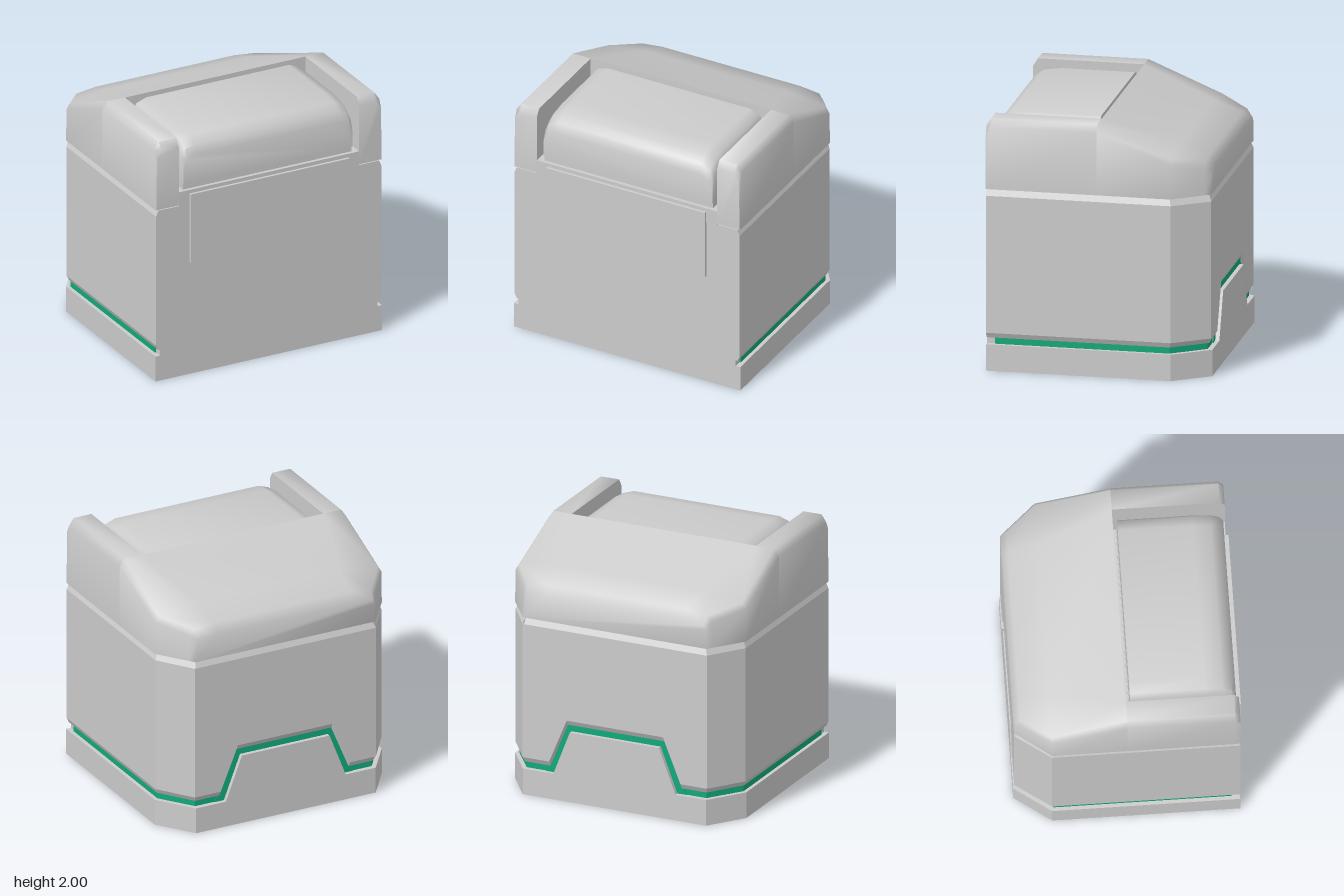
import * as THREE from 'three';
import { toCreasedNormals } from 'three/addons/utils/BufferGeometryUtils.js';

const grey = new THREE.MeshStandardMaterial({ color: 0xcccccc });
const green = new THREE.MeshStandardMaterial({ color: 0x11a97a });

export function createModel() {
  const group = new THREE.Group();
  const add = (name, geo, mat = grey) => {
    const m = new THREE.Mesh(geo, mat);
    m.name = name;
    group.add(m);
    return m;
  };
  const box = (name, x, y0, y1, z0, z1) =>
    add(name, new THREE.BoxGeometry(2 * x, y1 - y0, z1 - z0).translate(0, (y0 + y1) / 2, (z0 + z1) / 2));

  // Right half of an outline, completed by mirroring in x
  const mirrored = (half) => [...half, ...half.map(([x, y]) => [-x, y]).reverse()];
  const shapeOf = (pts) => new THREE.Shape(pts.map(([x, y]) => new THREE.Vector2(x, y)));

  // Upright prism from a half footprint [x, z]; levels are [y, inset scale]
  function prism(half, levels) {
    const n = levels.length - 1;
    const geo = new THREE.ExtrudeGeometry(shapeOf(mirrored(half.map(([x, z]) => [x, -z]))),
      { depth: n, steps: n, bevelEnabled: false });
    geo.rotateX(-Math.PI / 2);
    const p = geo.attributes.position;
    for (let i = 0; i < p.count; i++) {
      const [y, s] = levels[Math.round(p.getY(i))];
      const z = p.getZ(i);
      p.setXYZ(i, p.getX(i) * s, y, z < 0 ? z * s : z);
    }
    geo.computeVertexNormals();
    return geo;
  }

  // Plate on the back: half outline [x, y], depth layers in z, optional edge rule on the rear layer
  function backPlate(half, layers, rule = (y) => y) {
    const n = layers.length - 1;
    const geo = new THREE.ExtrudeGeometry(shapeOf(mirrored(half)), { depth: n, steps: n, bevelEnabled: false });
    const p = geo.attributes.position;
    for (let i = 0; i < p.count; i++) {
      const k = n - Math.round(p.getZ(i));
      p.setZ(i, layers[k]);
      if (k === n) p.setY(i, rule(p.getY(i)));
    }
    geo.computeVertexNormals();
    return geo;
  }

  // Skin over rings ordered from front to back, each anticlockwise seen from the front
  function loft(rings, crease) {
    const n = rings[0].length, idx = [];
    for (let i = 0; i < rings.length - 1; i++)
      for (let j = 0; j < n; j++) {
        const a = i * n + j, b = i * n + (j + 1) % n, c = b + n, d = a + n;
        idx.push(a, d, c, a, c, b);
      }
    const last = (rings.length - 1) * n;
    for (let j = 1; j < n - 1; j++) idx.push(0, j, j + 1, last, last + j + 1, last + j);
    const geo = new THREE.BufferGeometry();
    geo.setAttribute('position', new THREE.Float32BufferAttribute(rings.flat(2), 3));
    geo.setIndex(idx);
    return toCreasedNormals(geo, crease);
  }

  // Base with raised back step
  add('base', prism([[0.985, 0.855], [0.985, -0.59], [0.78, -0.875]], [[0, 1], [0.21, 1]]));
  add('baseBackStep', backPlate([[0.54, 0.15], [0.52, 0.21], [0.38, 0.57]], [-0.81, -0.875]));

  // Coloured seam between base and body
  add('seam', prism([[0.955, 0.79], [0.955, -0.575], [0.765, -0.835]], [[0.2, 1], [0.27, 1]]), green);
  add('seamBackStep', backPlate([[0.6, 0.2], [0.58, 0.26], [0.43, 0.635]], [-0.8, -0.842]), green);
  box('frontSeamFiller', 0.945, 0.2, 0.28, 0.75, 0.855);

  // Body with bevelled top and bottom edges
  add('body', prism([[0.98, 0.855], [0.98, -0.59], [0.785, -0.867], [0.785, -0.81]],
    [[0.26, 0.98], [0.3, 1], [1.39, 1], [1.437, 0.98]]));
  add('bodyBackPanel', backPlate([[0.41, 0.62], [0.56, 0.26], [0.775, 0.26], [0.785, 0.3], [0.785, 1.39], [0.77, 1.437]],
    [-0.8, -0.845, -0.867],
    (y) => (y > 1.4 ? 1.39 : y < 0.28 ? 0.3 : y < 0.7 && y > 0.5 ? y + 0.04 : y)));

  // Rear of the lid: slopes down and narrows to the back
  const lidRing = (z, top, bottomX) => {
    const half = [[bottomX, 1.445], ...top];
    return mirrored(half).map(([x, y]) => [x, y, z]);
  };
  add('lidRear', loft([
    lidRing(-0.01, [[0.98, 1.94], [0.94, 2], [0.785, 2]], 0.985),
    lidRing(-0.59, [[0.98, 1.71], [0.95, 1.755], [0.62, 1.8]], 0.985),
    lidRing(-0.82, [[0.8, 1.65], [0.77, 1.7], [0.6, 1.72]], 0.815),
    lidRing(-0.868, [[0.775, 1.6], [0.76, 1.63], [0.6, 1.64]], 0.78),
  ], 1.1));

  // Side rails of the lid
  for (const s of [1, -1]) {
    const ring = (z, dx, top) => {
      const pts = [[0.785, 1.445], [0.985 - dx, 1.445], [0.98 - dx, top - 0.06], [0.94 - dx, top], [0.785, top]]
        .map(([x, y]) => [x * s, y, z]);
      return s > 0 ? pts : pts.reverse();
    };
    add(s > 0 ? 'leftRail' : 'rightRail',
      loft([ring(0.858, 0.005, 1.94), ring(0.82, 0, 2), ring(-0.01, 0, 2)], 1.1));
  }

  // Sill and floor of the opening
  box('openingSill', 0.785, 1.43, 1.555, -0.01, 0.858);
  box('openingFloor', 0.735, 1.55, 1.605, 0.02, 0.83);

  // Rounded insert lying in the opening
  const insertRing = ([z, top]) => mirrored([[0.735, 1.6], [0.735, top - 0.09], [0.705, top - 0.03], [0.62, top]])
    .map(([x, y]) => [x, y, z]);
  add('insert', loft([[0.84, 1.83], [0.81, 1.91], [0.74, 1.96], [0.6, 1.98], [0.025, 1.98]].map(insertRing), 1.0));

  // Plate on the front
  box('frontPlate', 0.69, 0.945, 1.525, 0.85, 0.88);

  return group;
}
